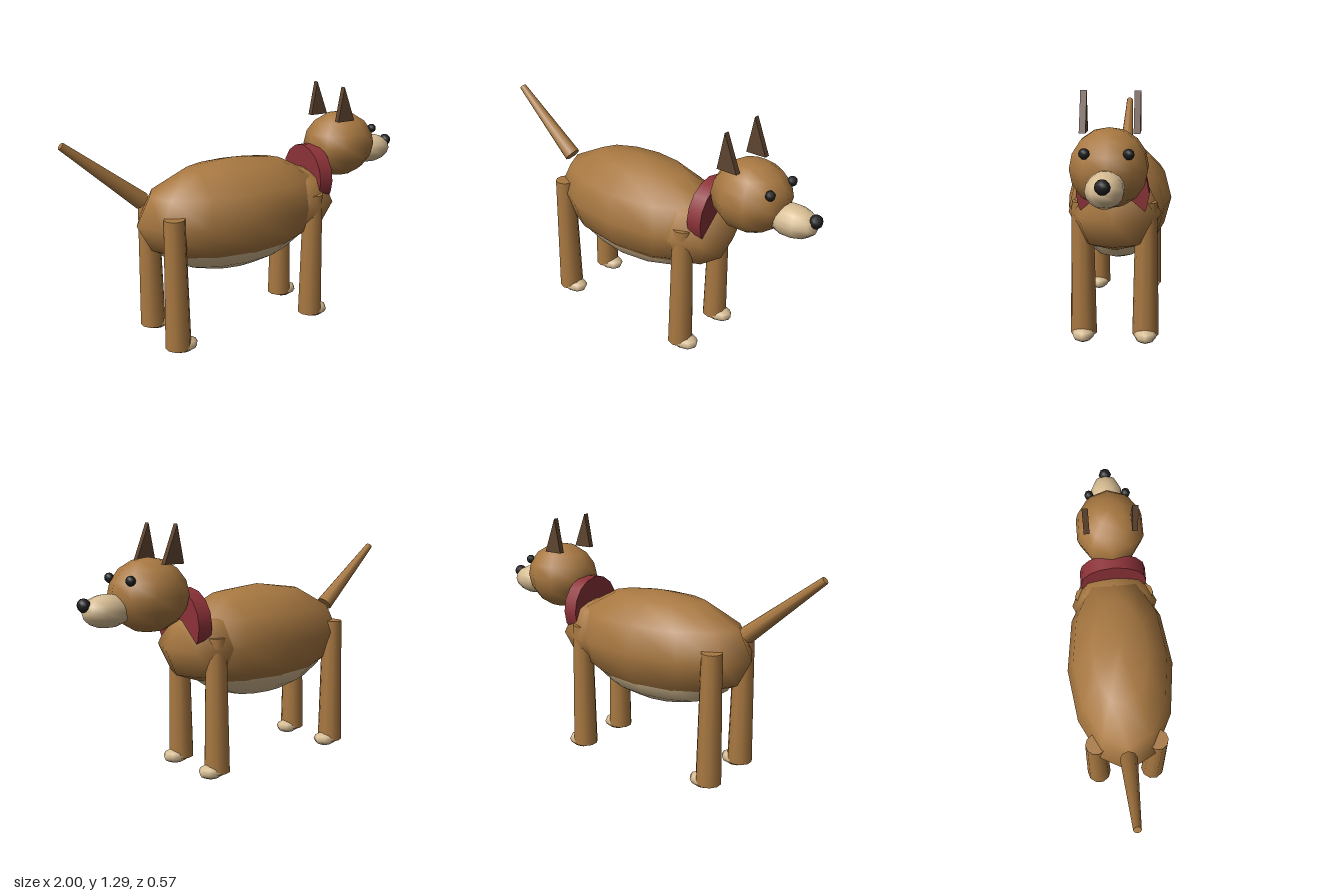
import * as THREE from 'three';

export function createModel() {
  const dog = new THREE.Group();
  dog.name = 'dog';

  const material = (name, color) => {
    const m = new THREE.MeshStandardMaterial({ color });
    m.name = name;
    return m;
  };
  const fur = material('brown fur', 0xa87841);
  const cream = material('cream fur', 0xd6bc93);
  const earBrown = material('dark brown', 0x5e442f);
  const black = material('black', 0x1e1e1e);
  const red = material('collar red', 0x8c3238);

  const add = (name, geometry, mat, x = 0, y = 0, z = 0) => {
    const mesh = new THREE.Mesh(geometry, mat);
    mesh.name = name;
    mesh.position.set(x, y, z);
    dog.add(mesh);
    return mesh;
  };
  // Low-sided ellipsoid with smooth normals
  const ball = (name, mat, [x, y, z], [rx, ry, rz], w, h) =>
    add(name, new THREE.SphereGeometry(1, w, h).scale(rx, ry, rz), mat, x, y, z);

  // Torso
  ball('body', fur, [-0.07, 0.67, 0], [0.565, 0.29, 0.283], 12, 6);
  ball('chest', fur, [0.305, 0.67, 0], [0.225, 0.2, 0.235], 8, 4);
  ball('belly', cream, [-0.08, 0.57, 0], [0.46, 0.215, 0.226], 12, 8);

  // Collar: a solid disc facing along the body
  add('collar', new THREE.CylinderGeometry(0.178, 0.178, 0.08, 16).rotateZ(Math.PI / 2),
    red, 0.41, 0.793, 0);

  // Head
  ball('head', fur, [0.62, 0.952, 0], [0.205, 0.183, 0.186], 10, 8);
  ball('snout', cream, [0.85, 0.895, 0], [0.13, 0.08, 0.088], 10, 8);
  ball('nose', black, [0.967, 0.93, 0], [0.033, 0.034, 0.034], 8, 6);

  // Ears: thin triangular wedges
  const earShape = new THREE.Shape([
    new THREE.Vector2(0.505, 1.105),
    new THREE.Vector2(0.615, 1.105),
    new THREE.Vector2(0.54, 1.293),
  ]);
  const earGeometry = new THREE.ExtrudeGeometry(earShape, { depth: 0.03, bevelEnabled: false })
    .translate(0, 0, -0.015);

  for (const side of [-1, 1]) {
    add('ear', earGeometry, earBrown, 0, 0, side * 0.124);
    ball('eye', black, [0.776, 1.037, side * 0.097], [0.025, 0.025, 0.025], 8, 6);

    // Legs and paws
    for (const [name, x] of [['front', 0.333], ['back', -0.5]]) {
      add(name + 'Leg', new THREE.CylinderGeometry(0.054, 0.068, 0.7, 10),
        fur, x, 0.382, side * 0.16);
      ball(name + 'Paw', cream, [x + 0.03, 0.04, side * 0.16], [0.08, 0.04, 0.06], 8, 6);
    }
  }

  // Tail: a cone frustum from rump to raised tip
  const base = new THREE.Vector3(-0.6, 0.8, 0);
  const tip = new THREE.Vector3(-0.988, 1.127, 0);
  const along = tip.clone().sub(base);
  const mid = base.clone().add(tip).multiplyScalar(0.5);
  const tail = add('tail', new THREE.CylinderGeometry(0.019, 0.045, along.length(), 8),
    fur, mid.x, mid.y, mid.z);
  tail.quaternion.setFromUnitVectors(new THREE.Vector3(0, 1, 0), along.normalize());

  return dog;
}
